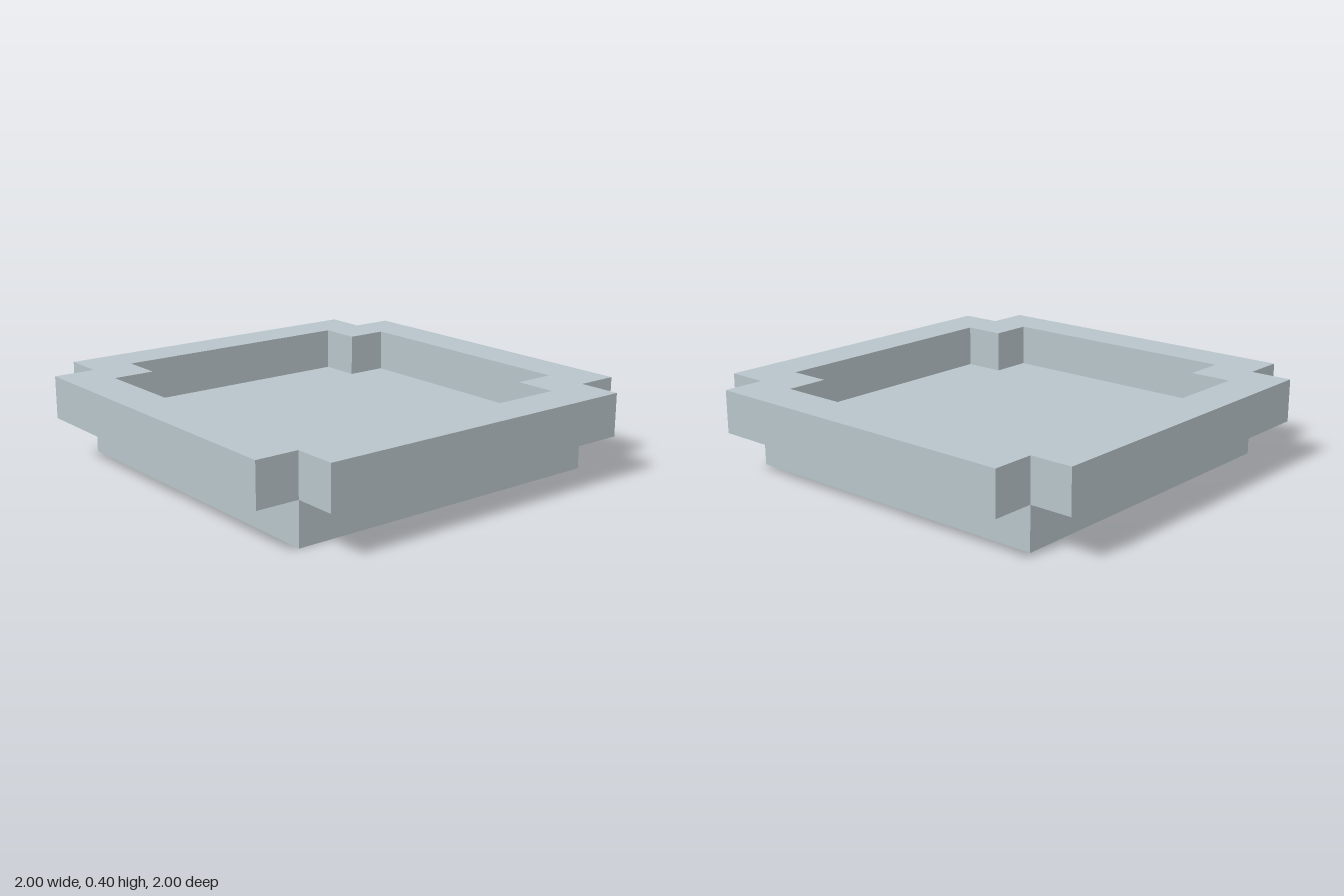
import * as THREE from 'three';

// Square outline of half-size `outer` whose corners are notched in to `inner`
function notchedSquare(PathType, outer, inner) {
  const points = [];
  for (let i = 0; i < 4; i++) {
    const turn = (i * Math.PI) / 2;
    for (const [x, y] of [[outer, -inner], [outer, inner], [inner, inner]]) {
      points.push(new THREE.Vector2(x, y).rotateAround(new THREE.Vector2(), turn));
    }
  }
  return new PathType(points);
}

export function createModel() {
  const group = new THREE.Group();
  group.name = 'tray';
  const paleGrey = new THREE.MeshStandardMaterial({ color: 0xb8c4ca });
  paleGrey.name = 'paleGrey';

  // Square slab that forms the foot and the tray floor
  const base = new THREE.Mesh(new THREE.BoxGeometry(1.6, 0.2, 1.6), paleGrey);
  base.name = 'base';
  base.position.y = 0.1;
  group.add(base);

  // Overhanging rim, notched at its outer and inner corners
  const outline = notchedSquare(THREE.Shape, 1, 0.8);
  outline.holes.push(notchedSquare(THREE.Path, 0.8, 0.6));
  const rimGeometry = new THREE.ExtrudeGeometry(outline, { depth: 0.2, bevelEnabled: false });
  rimGeometry.rotateX(-Math.PI / 2);
  const rim = new THREE.Mesh(rimGeometry, paleGrey);
  rim.name = 'rim';
  rim.position.y = 0.2;
  group.add(rim);

  return group;
}
